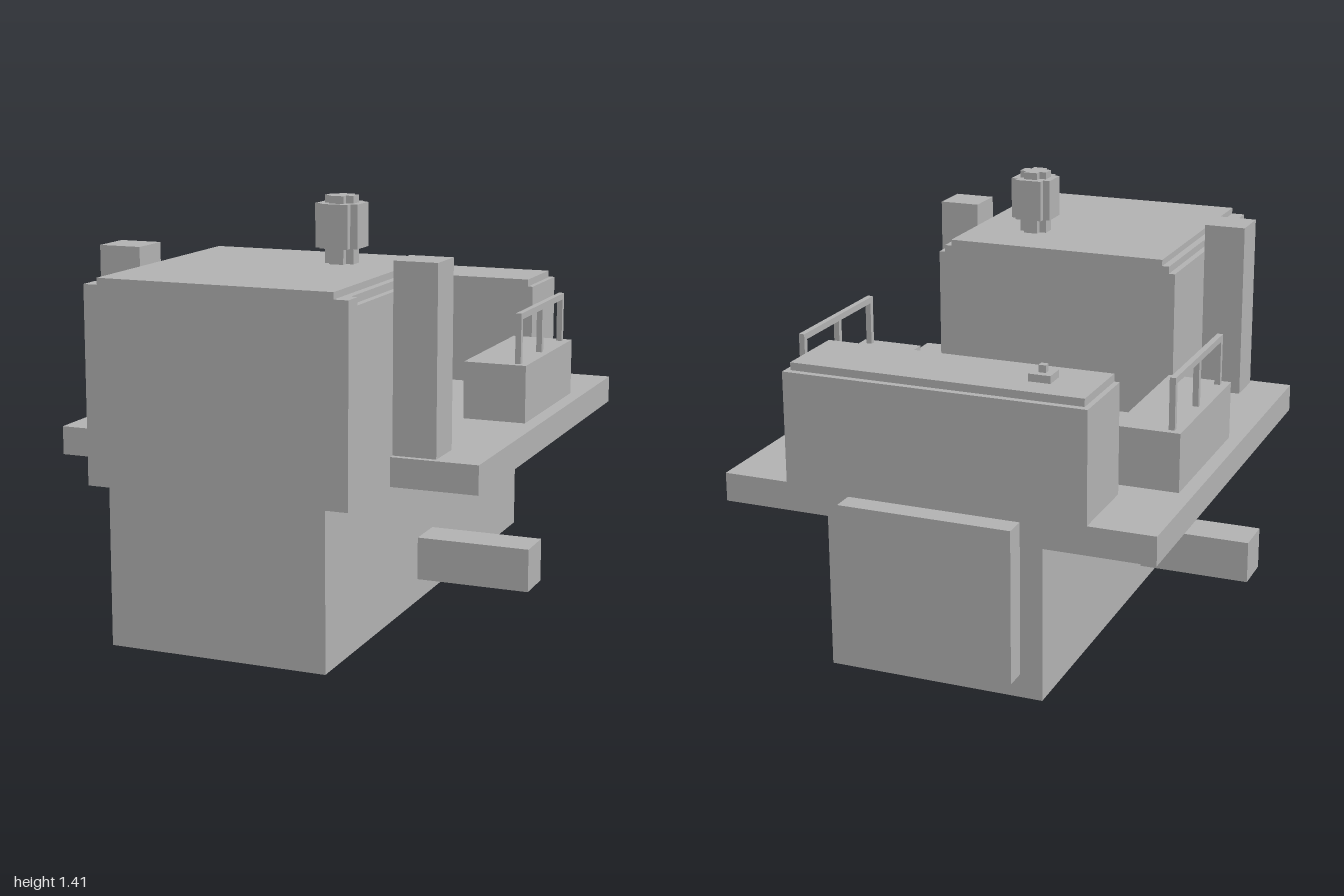
import * as THREE from 'three';

export function createModel() {
  const model = new THREE.Group();
  model.name = 'blockyVehicle';
  const grey = new THREE.MeshStandardMaterial({ color: 0xb2b2b2 });
  grey.name = 'plain grey';

  const add = (name, geometry) => {
    const mesh = new THREE.Mesh(geometry, grey);
    mesh.name = name;
    model.add(mesh);
    return mesh;
  };

  // Box given by its bounds on each axis
  const box = (name, x0, x1, y0, y1, z0, z1) =>
    add(name, new THREE.BoxGeometry(x1 - x0, y1 - y0, z1 - z0))
      .position.set((x0 + x1) / 2, (y0 + y1) / 2, (z0 + z1) / 2);

  // The same box on the left (+x) and right (-x)
  const pair = (name, x0, x1, ...rest) => {
    box(name + 'Left', x0, x1, ...rest);
    box(name + 'Right', -x1, -x0, ...rest);
  };

  // Upright prism with a plus-shaped section: outer reach a, notch at b
  const cross = (name, a, b, y0, y1, x, z) => {
    const points = [[a, -b], [a, b], [b, b], [b, a], [-b, a], [-b, b],
      [-a, b], [-a, -b], [-b, -b], [-b, -a], [b, -a], [b, -b]];
    const shape = new THREE.Shape(points.map(([u, v]) => new THREE.Vector2(u, v)));
    const geometry = new THREE.ExtrudeGeometry(shape, { depth: y1 - y0, bevelEnabled: false });
    geometry.rotateX(-Math.PI / 2);
    add(name, geometry).position.set(x, y0, z);
  };

  // Hull, deck and rear plate
  box('hull', -0.37, 0.37, 0, 0.52, -0.923, 1);
  box('deck', -0.74, 0.74, 0.52, 0.617, -0.923, 0.652);
  box('rearPlate', -0.295, 0.295, 0.08, 0.597, -1, -0.923);

  // Front housing with stepped roof edges
  box('housing', -0.445, 0.445, 0.52, 1.14, 0.135, 1);
  box('roofLedge', -0.423, 0.423, 1.14, 1.165, 0.135, 0.927);
  box('roofLedgeFront', -0.445, 0.445, 1.14, 1.165, 0.927, 1);
  box('roof', -0.398, 0.398, 1.165, 1.187, 0.135, 1);

  // Chimney
  cross('chimneyPipe', 0.05, 0.025, 1.187, 1.41, 0.17, 0.382);
  cross('chimneyDrum', 0.074, 0.049, 1.24, 1.385, 0.17, 0.382);

  // Columns beside the housing and arms low on the hull
  pair('column', 0.445, 0.592, 0.617, 1.238, 0.483, 0.63);
  pair('arm', 0.37, 0.765, 0.077, 0.225, 0.038, 0.185);

  // Side lockers with handrails
  pair('locker', 0.47, 0.691, 0.617, 0.816, -0.555, 0.012);
  pair('handrailBar', 0.645, 0.665, 0.968, 0.99, -0.532, -0.012);
  for (const z of [-0.022, -0.27, -0.522]) {
    pair('handrailPost', 0.645, 0.665, 0.816, 0.968, z - 0.01, z + 0.01);
  }

  // Rear tank with lid and filler cap
  box('rearTank', -0.515, 0.515, 0.617, 0.99, -0.923, -0.635);
  box('rearTankLid', -0.497, 0.497, 0.99, 1.016, -0.9, -0.635);
  box('fillerBase', -0.35, -0.276, 1.016, 1.041, -0.805, -0.731);
  box('fillerCap', -0.325, -0.301, 1.041, 1.065, -0.78, -0.756);

  return model;
}
